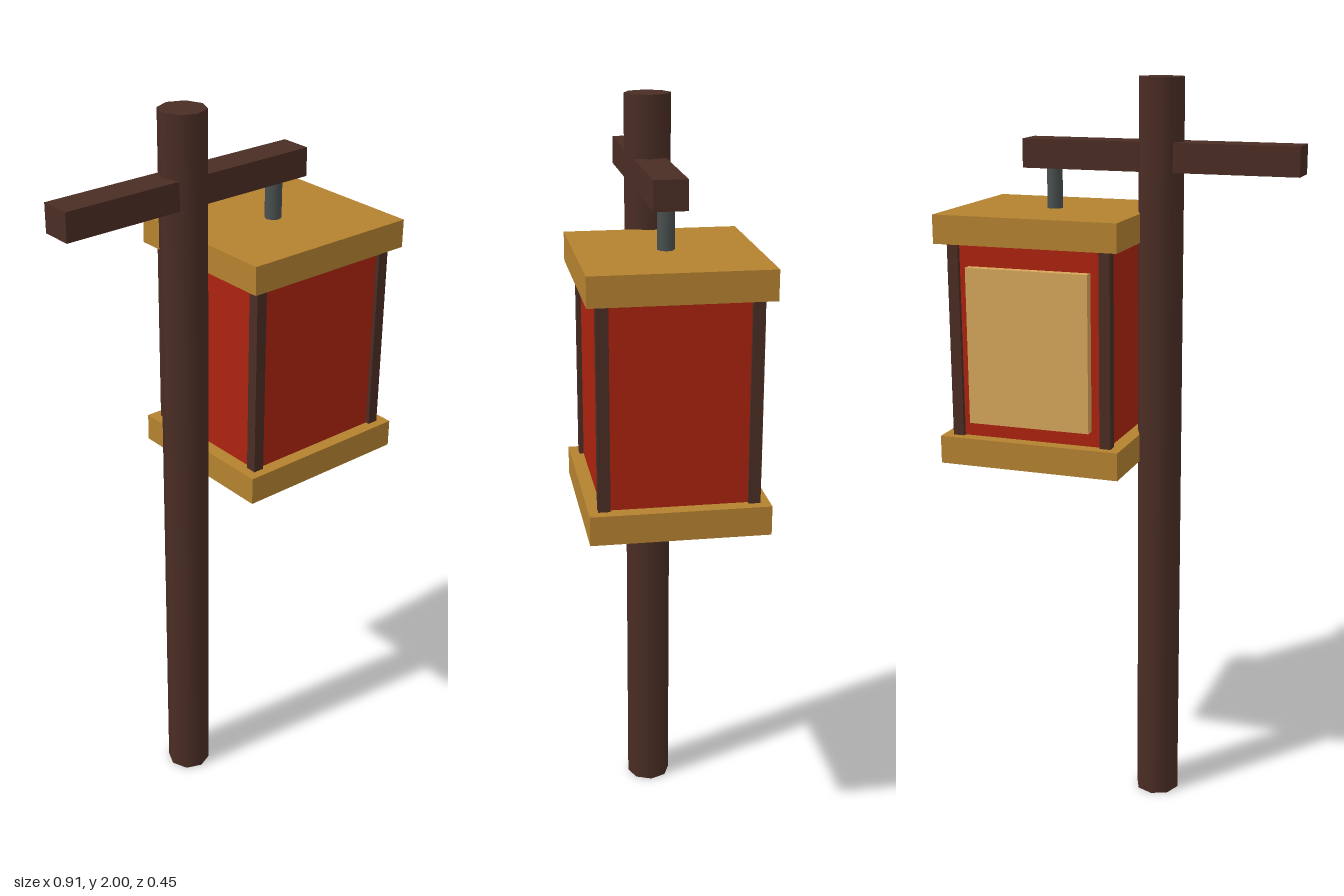
import * as THREE from 'three';

const mat = (name, color) => {
  const m = new THREE.MeshStandardMaterial({ color });
  m.name = name;
  return m;
};

export function createModel() {
  const model = new THREE.Group();
  model.name = 'hangingLantern';

  const wood = mat('dark wood', 0x4a2d24);
  const gold = mat('golden wood', 0xb5822f);
  const red = mat('red paper', 0xac230f);
  const cream = mat('tan panel', 0xd6a65a);
  const iron = mat('dark iron', 0x4a5050);

  const add = (parent, name, geometry, material, x, y, z) => {
    const mesh = new THREE.Mesh(geometry, material);
    mesh.name = name;
    mesh.position.set(x, y, z);
    parent.add(mesh);
    return mesh;
  };
  const box = (w, h, d) => new THREE.BoxGeometry(w, h, d);

  // Eight-sided pole and the beam through it
  add(model, 'pole', new THREE.CylinderGeometry(0.061, 0.061, 2, 8), wood, -0.088, 1, 0);
  add(model, 'crossbeam', box(0.735, 0.075, 0.085), wood, -0.09, 1.803, 0);

  // Lantern hanging under the beam
  const lantern = new THREE.Group();
  lantern.name = 'lantern';
  lantern.position.x = 0.205;
  model.add(lantern);

  add(lantern, 'hanger', new THREE.CylinderGeometry(0.022, 0.022, 0.13, 8), iron, 0, 1.71, 0);
  add(lantern, 'topCap', box(0.5, 0.075, 0.45), gold, 0, 1.622, 0);
  add(lantern, 'bottomCap', box(0.5, 0.075, 0.45), gold, 0, 1.032, 0);
  add(lantern, 'redBody', box(0.425, 0.52, 0.38), red, 0, 1.327, 0);

  // Corner posts
  for (const sx of [-1, 1]) {
    for (const sz of [-1, 1]) {
      add(lantern, 'cornerPost', box(0.03, 0.52, 0.03), wood, sx * 0.208, 1.327, sz * 0.186);
    }
  }

  // Raised panel on the back
  add(lantern, 'backPanel', box(0.335, 0.415, 0.03), cream, 0, 1.318, -0.2);

  return model;
}
